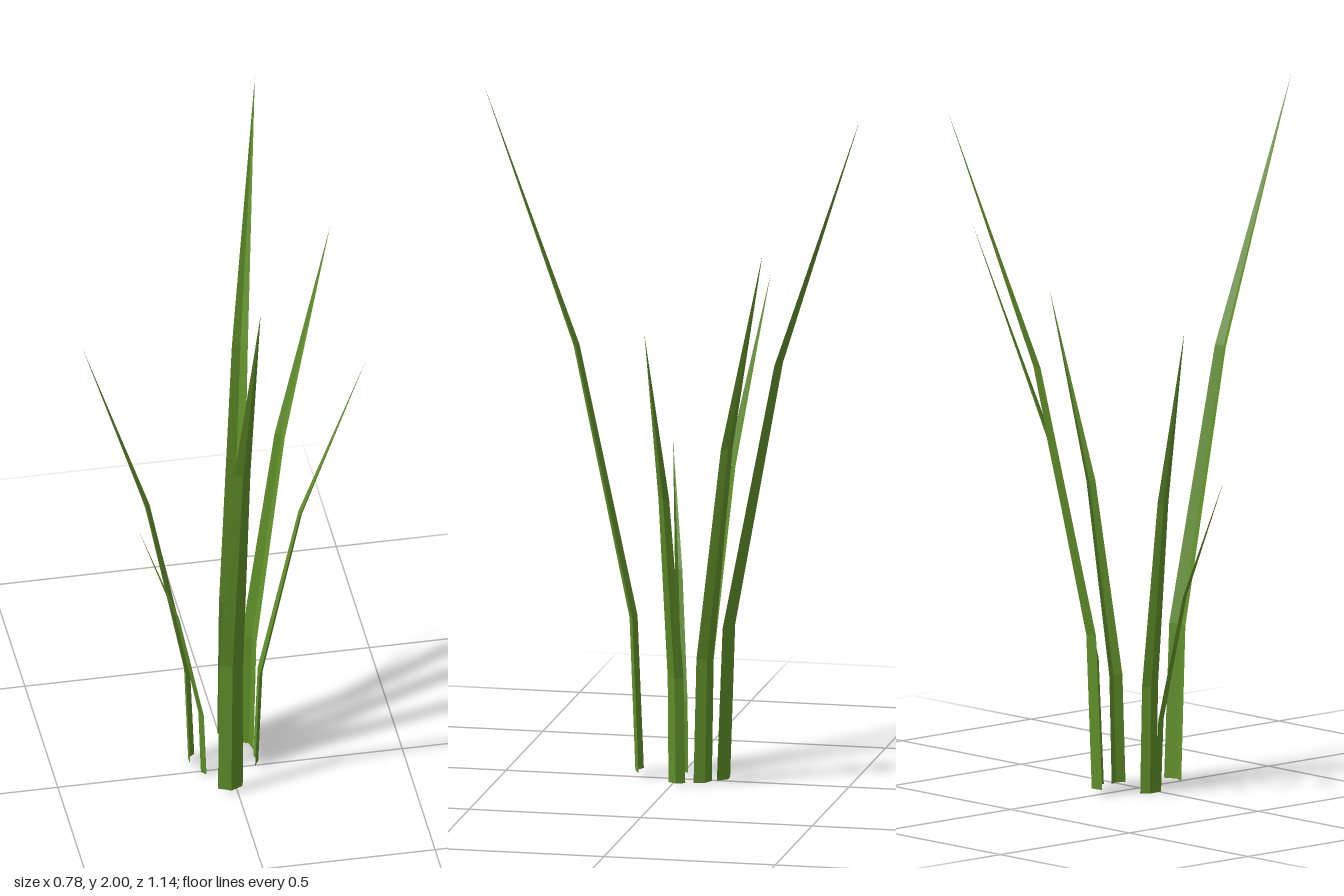
import * as THREE from 'three';

const leafGreen = new THREE.MeshStandardMaterial({ color: 0x609029, side: THREE.DoubleSide, flatShading: true });
leafGreen.name = 'leafGreen';

// Cross-sections of a full-size blade: height, outward lean, half width, crease depth
const SECTIONS = [
  [0, 0, 0.036, 0.017],
  [0.447, 0.018, 0.034, 0.016],
  [1.235, 0.185, 0.023, 0.012],
  [1.987, 0.459, 0, 0],
];

// Folded strip leaning towards +z, crease on the outer side
function bladeGeometry() {
  const positions = [];
  const index = [];
  SECTIONS.forEach(([y, lean, half, depth]) => {
    positions.push(-half, y, lean, 0, y, lean + depth, half, y, lean);
  });
  for (let row = 0; row < SECTIONS.length - 1; row++) {
    for (let col = 0; col < 2; col++) {
      const a = row * 3 + col;
      const c = a + 3;
      index.push(a, a + 1, c + 1);
      // The last row narrows to a point, so its strips are single triangles
      if (row < SECTIONS.length - 2) index.push(a, c + 1, c);
    }
  }
  const indexed = new THREE.BufferGeometry();
  indexed.setAttribute('position', new THREE.Float32BufferAttribute(positions, 3));
  indexed.setIndex(index);
  const geometry = indexed.toNonIndexed();
  geometry.computeVertexNormals();
  return geometry;
}

// Base x, base z, outward direction x, z, and size of each blade
const BLADES = [
  ['frontBlade', -0.02, 0.11, 0, 0.455, 1],
  ['backBlade', 0.026, -0.14, 0.154, -0.428, 1],
  ['backLeftBlade', 0.062, -0.087, 0.29, -0.236, 0.815],
  ['leftBlade', 0.073, -0.014, 0.315, 0.026, 0.695],
  ['backRightBlade', -0.099, -0.056, -0.292, -0.131, 0.7],
  ['smallRightBlade', -0.077, 0.002, -0.203, 0.071, 0.465],
];

export function createModel() {
  const model = new THREE.Group();
  model.name = 'grassTuft';
  const geometry = bladeGeometry();
  for (const [name, x, z, dx, dz, size] of BLADES) {
    const blade = new THREE.Mesh(geometry, leafGreen);
    blade.name = name;
    blade.position.set(x, 0.025 * (size - 0.465), z);
    blade.rotation.y = Math.atan2(dx, dz);
    blade.scale.setScalar(size);
    model.add(blade);
  }
  return model;
}
